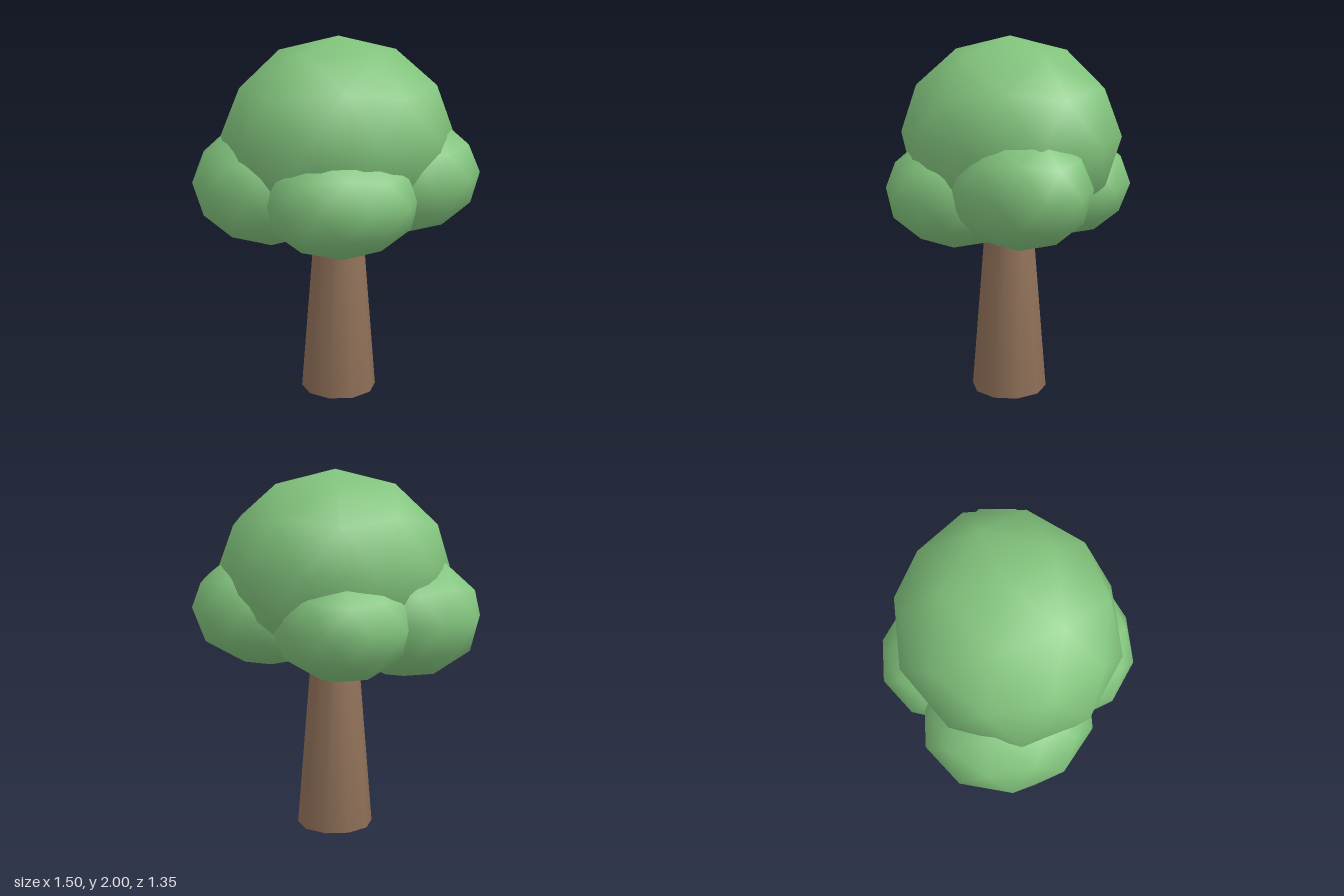
import * as THREE from 'three';
import { mergeVertices } from 'three/addons/utils/BufferGeometryUtils.js';

// Weld a geometry so that its normals run smoothly over every edge
function weld(geometry) {
  geometry.deleteAttribute('uv');
  geometry.deleteAttribute('normal');
  const welded = mergeVertices(geometry, 1e-4);
  welded.computeVertexNormals();
  return welded;
}

export function createModel() {
  const tree = new THREE.Group();
  tree.name = 'tree';

  const leafGreen = new THREE.MeshStandardMaterial({ color: 0x82c47d });
  leafGreen.name = 'leafGreen';
  const barkBrown = new THREE.MeshStandardMaterial({ color: 0x92725a });
  barkBrown.name = 'barkBrown';

  // Low-poly ball with a corner straight up and one upper corner toward +x
  const ball = new THREE.IcosahedronGeometry(1, 1);
  ball.rotateX(-Math.atan2((1 + Math.sqrt(5)) / 2, 1));
  ball.rotateY(Math.PI / 2);
  const leafBall = weld(ball);

  // Foliage: name, centre, radii
  const foliage = [
    ['crown', [0, 1.47, 0.005], [0.645, 0.53, 0.59]],
    ['frontFoliage', [-0.095, 1.17, 0.28], [0.425, 0.315, 0.395]],
    ['leftFoliage', [0.33, 1.25, 0.145], [0.44, 0.33, 0.362]],
    ['backFoliage', [0.075, 1.185, -0.28], [0.375, 0.3, 0.398]],
    ['rightFoliage', [-0.355, 1.2, -0.14], [0.42, 0.345, 0.465]],
  ];
  for (const [name, centre, radii] of foliage) {
    const mesh = new THREE.Mesh(leafBall, leafGreen);
    mesh.name = name;
    mesh.position.set(...centre);
    mesh.scale.set(...radii);
    tree.add(mesh);
  }

  // Tapered trunk running up into the crown
  const trunk = new THREE.Mesh(weld(new THREE.CylinderGeometry(0.115, 0.213, 1.2, 10)), barkBrown);
  trunk.name = 'trunk';
  trunk.position.set(0, 0.6, 0.01);
  tree.add(trunk);

  // Short branch reaching from the trunk into the back foliage
  const from = new THREE.Vector3(0, 0.9, 0);
  const to = new THREE.Vector3(-0.05, 0.96, -0.3);
  const along = to.clone().sub(from);
  const branch = new THREE.Mesh(weld(new THREE.CylinderGeometry(0.045, 0.05, along.length(), 8)), barkBrown);
  branch.name = 'branch';
  branch.position.copy(from).add(to).multiplyScalar(0.5);
  branch.quaternion.setFromUnitVectors(new THREE.Vector3(0, 1, 0), along.normalize());
  tree.add(branch);

  return tree;
}
